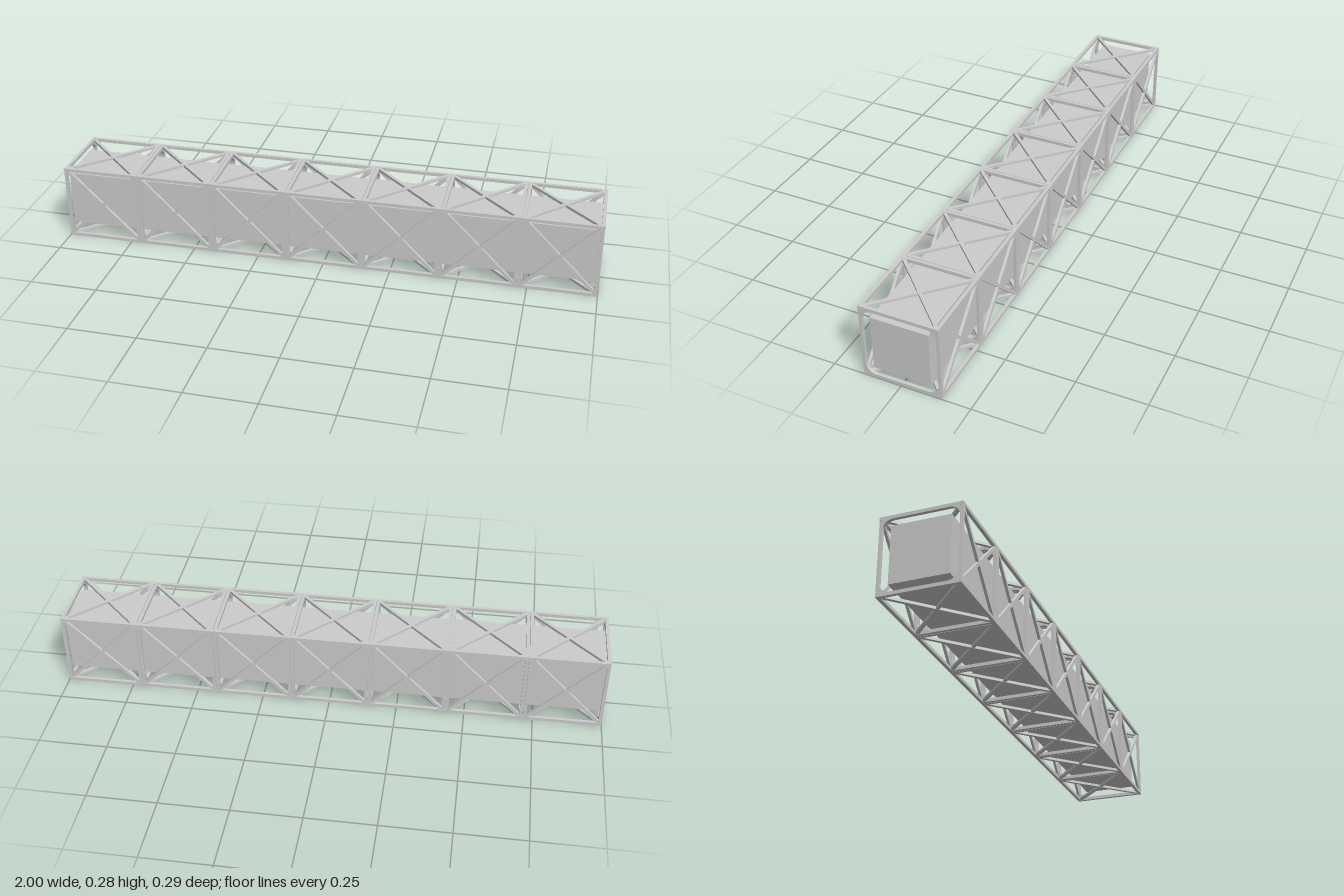
import * as THREE from 'three';

const LENGTH = 1.9986, SIZE = 0.285, BAYS = 7, BAR = 0.012;
const HALF = SIZE / 2, BAY = LENGTH / BAYS, RAIL = HALF - BAR / 2;
const material = new THREE.MeshStandardMaterial({ color: 0xcccccc });

function addBox(parent, name, size, position) {
  const mesh = new THREE.Mesh(new THREE.BoxGeometry(...size), material);
  mesh.name = name;
  mesh.position.set(...position);
  parent.add(mesh);
  return mesh;
}

// Square plate with a rounded square opening, extruded along the beam
function frameGeometry() {
  const shape = new THREE.Shape();
  shape.moveTo(-HALF, -HALF).lineTo(HALF, -HALF).lineTo(HALF, HALF).lineTo(-HALF, HALF).closePath();
  const w = HALF - 0.0105, h = HALF - 0.0125, r = 0.036;
  const hole = new THREE.Path();
  hole.moveTo(-w + r, -h);
  hole.absarc(w - r, -h + r, r, -Math.PI / 2, 0);
  hole.absarc(w - r, h - r, r, 0, Math.PI / 2);
  hole.absarc(-w + r, h - r, r, Math.PI / 2, Math.PI);
  hole.absarc(-w + r, -h + r, r, Math.PI, Math.PI * 1.5);
  shape.holes.push(hole);
  const geometry = new THREE.ExtrudeGeometry(shape, { depth: BAR, bevelEnabled: false, curveSegments: 8 });
  return geometry.translate(0, 0, -BAR / 2).rotateY(Math.PI / 2);
}

export function createModel() {
  const model = new THREE.Group();
  model.name = 'trussBeam';
  const beam = new THREE.Group();
  beam.name = 'beam';
  beam.position.y = HALF;
  beam.rotation.y = 0.0047; // the beam sits very slightly askew
  model.add(beam);

  // Solid core running the whole length
  addBox(beam, 'core', [LENGTH - 0.008, 0.209, 0.207], [0, 0.001, 0]);

  // Four corner rails
  for (const y of [-1, 1]) {
    for (const z of [-1, 1]) {
      addBox(beam, 'cornerRail', [LENGTH, BAR, BAR], [0, y * RAIL, z * RAIL]);
    }
  }

  // Each bay has a frame at both ends and crossed braces on four sides
  const frame = frameGeometry();
  const run = BAY - 2 * BAR, rise = SIZE - 2 * BAR;
  const braceLength = Math.hypot(run, rise) + 0.008, braceAngle = Math.atan2(rise, run);
  for (let i = 0; i < BAYS; i++) {
    const bay = new THREE.Group();
    bay.name = 'bay';
    bay.position.x = (i + 0.5) * BAY - LENGTH / 2;
    beam.add(bay);

    for (const end of [-1, 1]) {
      const mesh = new THREE.Mesh(frame, material);
      mesh.name = 'bayFrame';
      mesh.position.x = end * (BAY / 2 - BAR / 2 - 0.001);
      bay.add(mesh);
    }

    for (let s = 0; s < 4; s++) {
      const side = new THREE.Group();
      side.name = 'crossBrace';
      side.rotation.x = s * Math.PI / 2;
      bay.add(side);
      for (const dir of [-1, 1]) {
        const brace = addBox(side, 'brace', [braceLength, BAR, 0.01], [0, 0, RAIL - 0.0005 + dir * 0.0003]);
        brace.rotation.z = dir * braceAngle;
      }
    }
  }
  return model;
}
